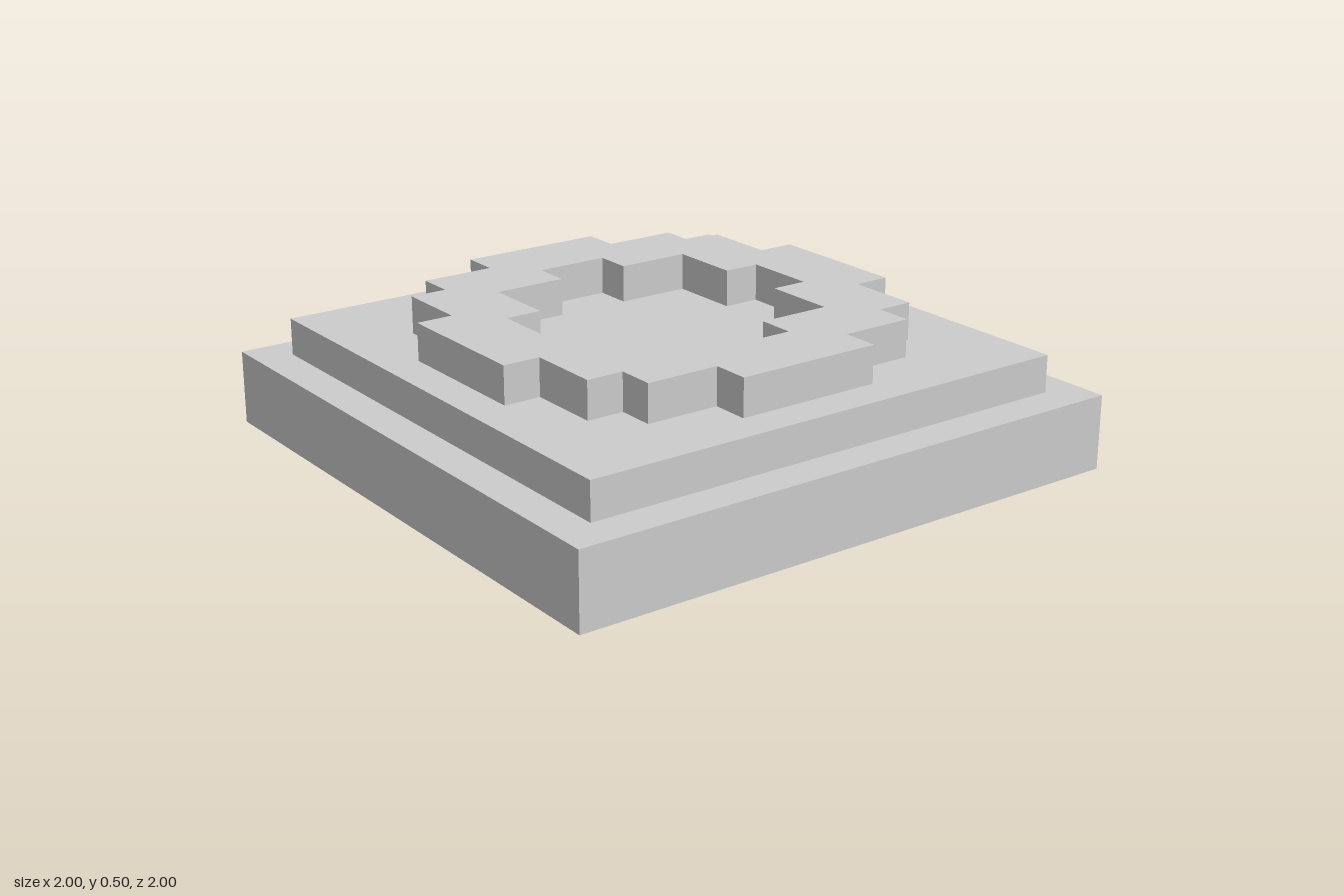
import * as THREE from 'three';

const U = 0.125; // one grid step

// Repeats the corners of one quadrant around the centre, a quarter turn at a time
function steppedOutline(quadrant) {
  const points = [];
  for (let turn = 0; turn < 4; turn++) {
    for (const [a, b] of quadrant) {
      let x = a * U, y = b * U;
      for (let i = 0; i < turn; i++) [x, y] = [-y, x];
      points.push(new THREE.Vector2(x, y));
    }
  }
  return points;
}

export function createModel() {
  const group = new THREE.Group();
  const material = new THREE.MeshStandardMaterial({ color: 0xcccccc, flatShading: true });

  function add(name, geometry, y) {
    const mesh = new THREE.Mesh(geometry, material);
    mesh.name = name;
    mesh.position.y = y;
    group.add(mesh);
  }

  // Square base and the smaller step on top of it
  add('base', new THREE.BoxGeometry(16 * U, 2 * U, 16 * U), U);
  add('step', new THREE.BoxGeometry(14 * U, U, 14 * U), 2.5 * U);

  // Blocky ring with a stepped opening
  const ring = new THREE.Shape(steppedOutline([[6, 2], [5, 2], [5, 4], [4, 4], [4, 5], [2, 5], [2, 6]]
    .concat([])));
  ring.holes.push(new THREE.Path(steppedOutline([[4, 1], [3, 1], [3, 3], [1, 3], [1, 4]])));
  const ringGeometry = new THREE.ExtrudeGeometry(ring, { depth: U, bevelEnabled: false });
  ringGeometry.rotateX(-Math.PI / 2);
  add('steppedRing', ringGeometry, 3 * U);

  return group;
}
